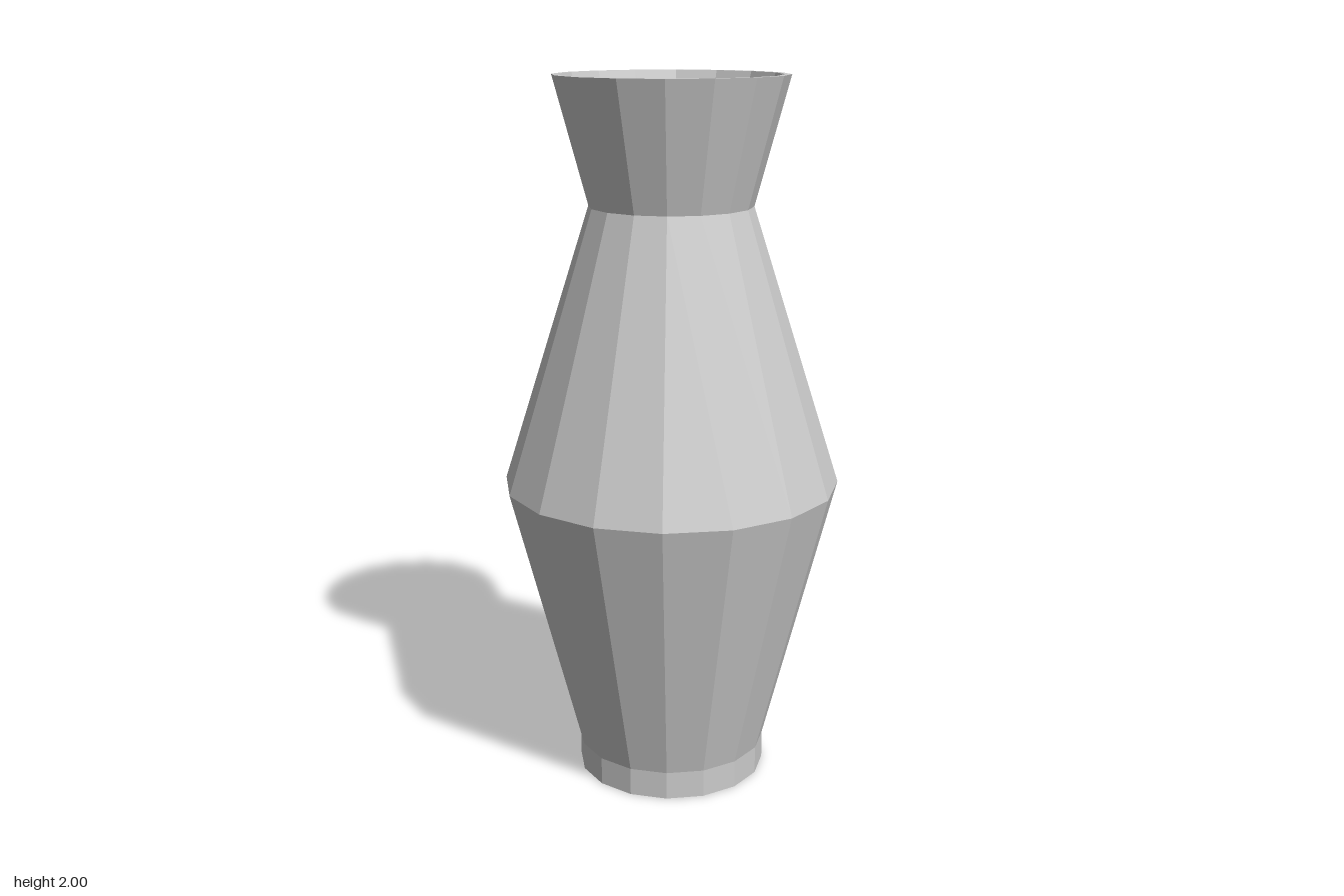
import * as THREE from 'three';

export function createModel() {
  const group = new THREE.Group();
  group.name = 'vase';
  const material = new THREE.MeshStandardMaterial({ color: 0xcccccc, flatShading: true });

  // Closed wall profile [radius, height]: up the outside, over the rim, down the inside
  const profile = [
    [0, 0], [0.272, 0], [0.272, 0.08],   // base and foot
    [0.475, 0.87],                       // belly
    [0.227, 1.65],                       // neck
    [0.322, 2], [0.303, 2],              // rim
    [0.2, 1.65],                         // inner neck
    [0.452, 0.87],                       // inner belly
    [0.25, 0.08], [0, 0.08],             // inner floor
  ].map(([r, y]) => new THREE.Vector2(r, y));

  const body = new THREE.Mesh(new THREE.LatheGeometry(profile, 16), material);
  body.name = 'vaseBody';
  group.add(body);
  return group;
}
